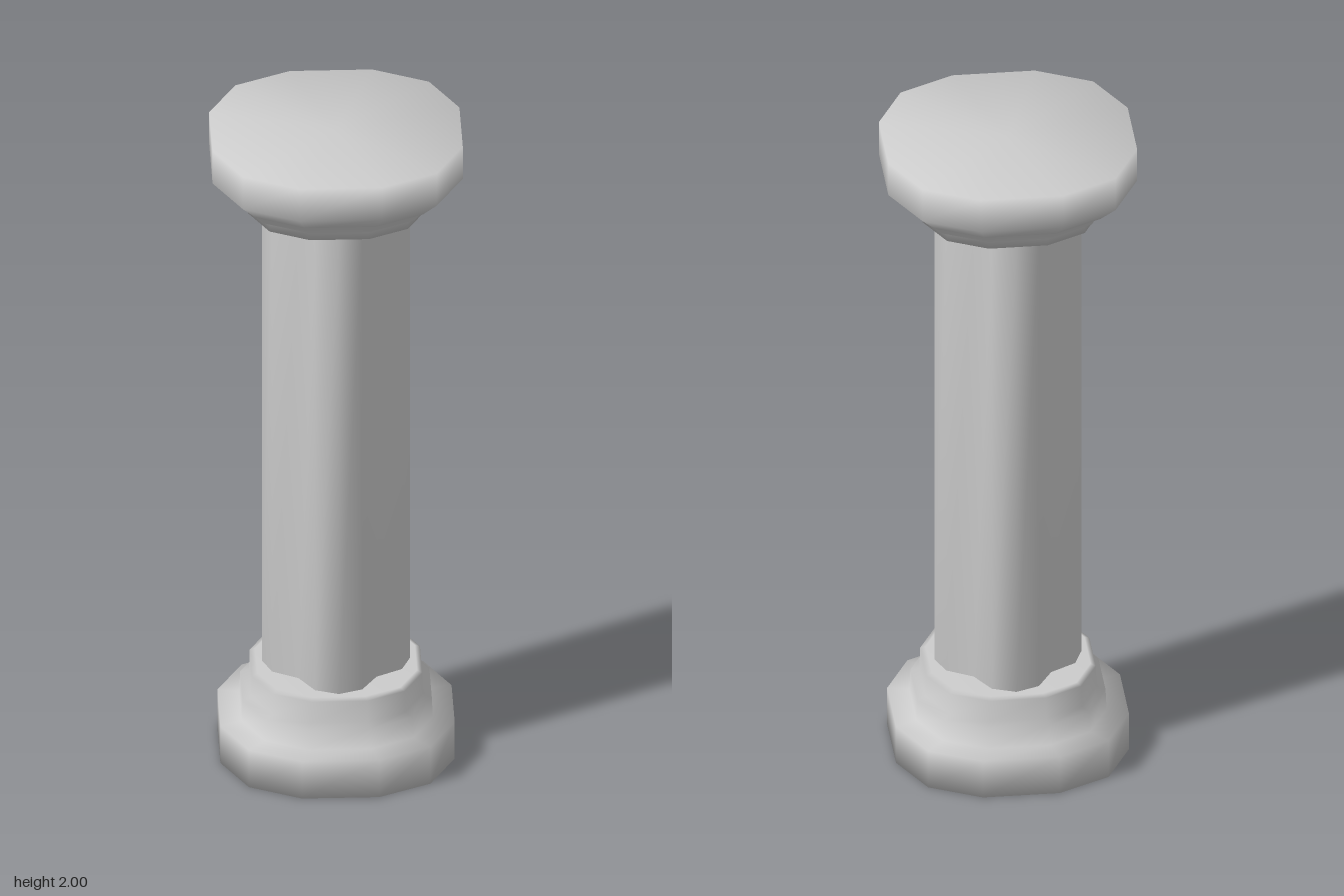
import * as THREE from 'three';

// Repeat a quarter outline four times around the axis
function fourfold(quarter) {
  const ring = [];
  for (let q = 0; q < 4; q++) {
    const c = Math.round(Math.cos(q * Math.PI / 2)), s = Math.round(Math.sin(q * Math.PI / 2));
    for (const [x, z] of quarter) ring.push([x * c - z * s, x * s + z * c]);
  }
  return ring;
}

// Stack scaled copies of an outline ([scale, y], bottom to top) into a closed smooth solid
function loft(name, ring, levels, material) {
  const n = ring.length, pos = [], index = [];
  for (const [s, y] of levels) for (const [x, z] of ring) pos.push(x * s, y, z * s);
  const last = (levels.length - 1) * n, bottom = levels.length * n, top = bottom + 1;
  pos.push(0, levels[0][1], 0, 0, levels[levels.length - 1][1], 0);
  for (let i = 0; i < n; i++) {
    const j = (i + 1) % n;
    for (let k = 0; k < last; k += n) {
      index.push(k + i, k + n + i, k + j, k + j, k + n + i, k + n + j);
    }
    index.push(bottom, i, j, top, last + j, last + i);
  }
  const geometry = new THREE.BufferGeometry();
  geometry.setAttribute('position', new THREE.Float32BufferAttribute(pos, 3));
  geometry.setIndex(index);
  geometry.computeVertexNormals();
  const mesh = new THREE.Mesh(geometry, material);
  mesh.name = name;
  return mesh;
}

export function createModel() {
  const group = new THREE.Group();
  group.name = 'column';
  const stone = new THREE.MeshStandardMaterial({ color: 0xcccccc });

  // Twelve-sided plate outline, half width 1
  const plate = fourfold([[1, -0.33], [1, 0.33], [0.775, 0.775]]);
  // Shaft outline: four ribs with shallow grooves between them
  const ribbed = fourfold([[0.187, -0.068], [0.213, 0], [0.187, 0.068], [0.112, 0.112]]);

  // Stepped base
  group.add(loft('base', plate, [
    [0.337, 0], [0.337, 0.12], [0.275, 0.125], [0.272, 0.19], [0.247, 0.198], [0.245, 0.265], [0.23, 0.272],
  ], stone));

  // Shaft, slightly bevelled under the capital
  group.add(loft('shaft', ribbed, [[1, 0.26], [1, 1.755], [0.92, 1.785]], stone));

  // Flared capital
  group.add(loft('capital', plate, [
    [0.257, 1.778], [0.257, 1.8], [0.28, 1.815], [0.288, 1.838], [0.31, 1.846], [0.36, 1.895], [0.36, 2],
  ], stone));

  return group;
}
